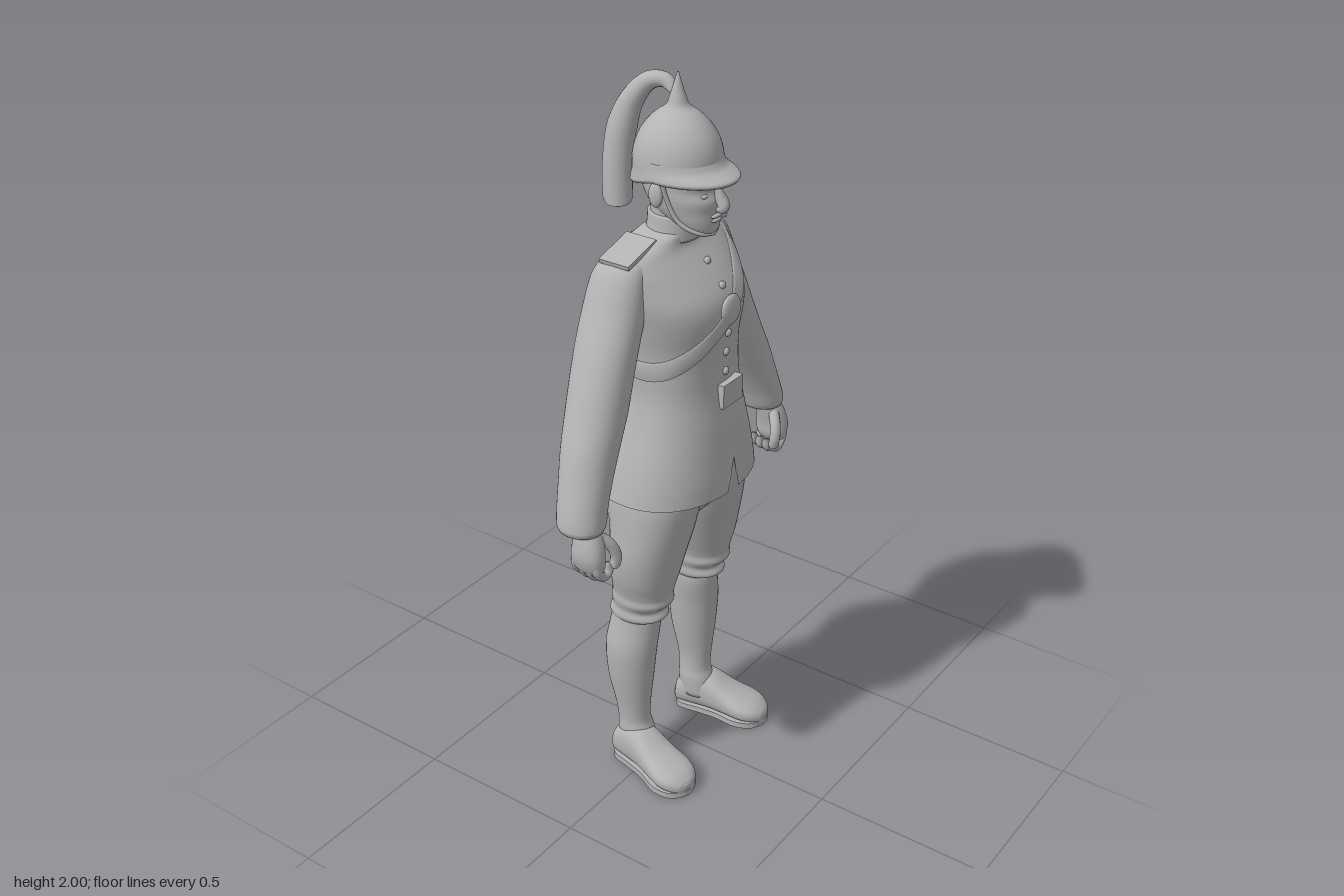
import * as THREE from 'three';

const cloth = new THREE.MeshStandardMaterial({ color: 0xb4b4b4, side: THREE.DoubleSide });
cloth.name = 'plain grey';

// Smoothly read a section [y, xMin, xMax, zMin, zMax] at height y
function sectionAt(secs, y) {
  let i = 0;
  while (i < secs.length - 2 && y > secs[i + 1][0]) i++;
  const a = secs[i], b = secs[i + 1], p = secs[Math.max(i - 1, 0)], q = secs[Math.min(i + 2, secs.length - 1)];
  const h = b[0] - a[0], t = (y - a[0]) / h, t2 = t * t, t3 = t2 * t;
  return a.map((v, k) => {
    if (k === 0) return y;
    const m0 = (b[k] - p[k]) / (b[0] - p[0]) * h, m1 = (q[k] - v) / (q[0] - a[0]) * h;
    return (2 * t3 - 3 * t2 + 1) * v + (t3 - 2 * t2 + t) * m0 + (3 * t2 - 2 * t3) * b[k] + (t3 - t2) * m1;
  });
}

// Point on a superellipse section, optionally pushed outwards
function surfacePoint(secs, y, ang, n, push = 0) {
  const [, x0, x1, z0, z1] = sectionAt(secs, y), c = Math.cos(ang), s = Math.sin(ang);
  const pw = v => Math.sign(v) * Math.pow(Math.abs(v), 2 / n);
  return new THREE.Vector3((x0 + x1) / 2 + ((x1 - x0) / 2 + push) * pw(c), y,
    (z0 + z1) / 2 + ((z1 - z0) / 2 + push) * pw(s));
}

// Closed tube of stacked sections, listed from low to high
function loft(secs, { n = 2, segs = 40, sub = 5, capBottom = true, capTop = true } = {}) {
  const pos = [], idx = [], rows = (secs.length - 1) * sub;
  for (let r = 0; r <= rows; r++) {
    const i = Math.min(Math.floor(r / sub), secs.length - 2), f = r / sub - i;
    const y = secs[i][0] + (secs[i + 1][0] - secs[i][0]) * f;
    for (let j = 0; j < segs; j++) pos.push(...surfacePoint(secs, y, j / segs * Math.PI * 2, n).toArray());
  }
  for (let r = 0; r < rows; r++) for (let j = 0; j < segs; j++) {
    const a = r * segs + j, c = r * segs + (j + 1) % segs, b = a + segs, d = c + segs;
    idx.push(a, b, c, c, b, d);
  }
  const cap = (sec, row, top) => {
    const k = pos.length / 3;
    pos.push((sec[1] + sec[2]) / 2, sec[0], (sec[3] + sec[4]) / 2);
    for (let j = 0; j < segs; j++) {
      const a = row * segs + j, b = row * segs + (j + 1) % segs;
      top ? idx.push(a, k, b) : idx.push(a, b, k);
    }
  };
  if (capBottom) cap(secs[0], 0, false);
  if (capTop) cap(secs[secs.length - 1], rows, true);
  const g = new THREE.BufferGeometry();
  g.setAttribute('position', new THREE.Float32BufferAttribute(pos, 3));
  g.setIndex(idx);
  g.computeVertexNormals();
  return g;
}

// Move vertices by a rule
function bend(g, rule) {
  const p = g.attributes.position, v = new THREE.Vector3();
  for (let i = 0; i < p.count; i++) { v.fromBufferAttribute(p, i); rule(v); p.setXYZ(i, v.x, v.y, v.z); }
  g.computeVertexNormals();
  return g;
}

// Tube whose radius follows radiusAt(u), rounded to a point at both ends
function taperTube(points, radiusAt, steps = 24, sides = 12) {
  const curve = new THREE.CatmullRomCurve3(points.map(p => new THREE.Vector3(...p)));
  const g = new THREE.TubeGeometry(curve, steps, 1, sides), p = g.attributes.position, v = new THREE.Vector3();
  for (let i = 0; i < p.count; i++) {
    const u = Math.floor(i / (sides + 1)) / steps, c = curve.getPointAt(u);
    v.fromBufferAttribute(p, i).sub(c).multiplyScalar(radiusAt(u)).add(c);
    p.setXYZ(i, v.x, v.y, v.z);
  }
  return g;
}
const roundEnds = (r, k = 0.12) => u => {
  const e = Math.min(u, 1 - u) / k;
  return e >= 1 ? r : r * Math.sqrt(Math.max(0.0004, 1 - (1 - e) ** 2));
};

function mirrored(geo) {
  const g = geo.clone().scale(-1, 1, 1);
  const old = g.index ? Array.from(g.index.array) : Array.from({ length: g.attributes.position.count }, (_, i) => i);
  for (let i = 0; i < old.length; i += 3) [old[i], old[i + 1]] = [old[i + 1], old[i]];
  g.setIndex(old);
  return g;
}
const ball = (x, y, z, rx, ry, rz) => new THREE.SphereGeometry(1, 20, 14).scale(rx, ry, rz).translate(x, y, z);
const sym = (y, hx, z0, z1) => [y, -hx, hx, z0, z1];

export function createModel() {
  const group = new THREE.Group();
  const add = (name, g) => { const m = new THREE.Mesh(g, cloth); m.name = name; group.add(m); };
  const pair = (name, g) => { add('left ' + name, g); add('right ' + name, mirrored(g)); };

  // Tunic with front and back vents
  const coat = [sym(0.905, 0.238, -0.188, 0.185), sym(0.95, 0.228, -0.178, 0.183), sym(1.0, 0.215, -0.165, 0.178),
    sym(1.1, 0.185, -0.135, 0.165), sym(1.18, 0.167, -0.118, 0.152), sym(1.25, 0.165, -0.128, 0.148),
    sym(1.32, 0.17, -0.15, 0.15), sym(1.4, 0.185, -0.172, 0.16), sym(1.45, 0.195, -0.176, 0.15),
    sym(1.5, 0.202, -0.168, 0.115), sym(1.54, 0.205, -0.148, 0.08), sym(1.57, 0.185, -0.118, 0.055),
    sym(1.59, 0.13, -0.095, 0.05), sym(1.612, 0.07, -0.075, 0.055)];
  const N = 2.25;
  add('tunic', bend(loft(coat, { n: N, segs: 160, capBottom: false }), v => {
    v.y = Math.max(v.y, (v.z > 0 ? 1.0 : 0.95) - Math.abs(v.x) * (v.z > 0 ? 4 : 3));
  }));
  add('collar', loft([sym(1.585, 0.078, -0.08, 0.062), sym(1.62, 0.071, -0.074, 0.064), sym(1.65, 0.068, -0.072, 0.062)]));

  // Cross strap running round the body from the left shoulder to the right waist
  const strapPos = [], strapIdx = [], M = 120;
  for (let i = 0; i <= M; i++) {
    const ang = i / M * Math.PI * 2;
    let lo = 1.15, hi = 1.6;
    for (let k = 0; k < 30; k++) {
      const y = (lo + hi) / 2;
      if (y - 1.4 - 0.77 * surfacePoint(coat, y, ang, N).x > 0) hi = y; else lo = y;
    }
    [[-0.026, -0.002], [-0.024, 0.007], [0.024, 0.007], [0.026, -0.002]].forEach(([dy, push]) =>
      strapPos.push(...surfacePoint(coat, lo + dy, ang, N, push).toArray()));
    if (i < M) for (let k = 0; k < 3; k++) {
      const a = i * 4 + k;
      strapIdx.push(a, a + 1, a + 4, a + 4, a + 1, a + 5);
    }
  }
  const strap = new THREE.BufferGeometry();
  strap.setAttribute('position', new THREE.Float32BufferAttribute(strapPos, 3));
  strap.setIndex(strapIdx);
  strap.computeVertexNormals();
  add('cross strap', strap);

  // Badge, buckle and buttons
  add('strap badge', ball(0.013, 1.412, 0.158, 0.042, 0.042, 0.014));
  add('belt buckle', new THREE.BoxGeometry(0.088, 0.066, 0.03).translate(0.018, 1.18, 0.152));
  for (const y of [1.53, 1.475, 1.35, 1.295, 1.24]) {
    add('front button', ball(0.008, y, surfacePoint(coat, y, Math.PI / 2, N).z, 0.011, 0.011, 0.009));
  }
  for (const y of [1.14, 1.07, 1.0]) {
    pair('tail button', ball(0.055, y, surfacePoint(coat, y, -1.25, N).z + 0.002, 0.011, 0.011, 0.009));
  }
  pair('shoulder strap', new THREE.BoxGeometry(0.12, 0.012, 0.09).rotateZ(-0.28).translate(0.155, 1.582, -0.035));

  // Sleeves
  pair('sleeve', loft([[0.93, 0.362, 0.468, -0.058, 0.062], [0.945, 0.354, 0.472, -0.062, 0.066],
    [0.99, 0.337, 0.463, -0.068, 0.062], [1.05, 0.308, 0.444, -0.078, 0.058], [1.13, 0.262, 0.418, -0.092, 0.053],
    [1.2, 0.225, 0.386, -0.104, 0.05], [1.29, 0.19, 0.347, -0.115, 0.045], [1.37, 0.16, 0.311, -0.122, 0.042],
    [1.45, 0.13, 0.272, -0.125, 0.038], [1.52, 0.12, 0.24, -0.118, 0.032], [1.555, 0.12, 0.218, -0.1, 0.022],
    [1.575, 0.13, 0.19, -0.075, 0.0]], { n: 2.1 }));

  // Hands with curled fingers
  pair('palm', loft([[0.815, 0.41, 0.438, 0.0, 0.07], [0.835, 0.4, 0.452, -0.012, 0.078], [0.87, 0.396, 0.46, -0.015, 0.08],
    [0.91, 0.388, 0.455, -0.012, 0.07], [0.95, 0.382, 0.445, -0.025, 0.05]], { n: 2.3, segs: 28 }));
  for (let i = 0; i < 4; i++) {
    const z = -0.002 + i * 0.022, d = Math.abs(i - 1.7) * 0.005;
    pair('finger', taperTube([[0.437, 0.86, z], [0.43, 0.818 + d, z], [0.407, 0.797 + d, z], [0.389, 0.805 + d, z],
      [0.385, 0.83 + d, z]], roundEnds(0.0135)));
  }
  pair('thumb', taperTube([[0.405, 0.92, 0.05], [0.382, 0.885, 0.072], [0.372, 0.85, 0.078], [0.376, 0.815, 0.07]], roundEnds(0.015)));

  // Breeches
  add('seat', loft([sym(0.8, 0.06, -0.07, 0.08), sym(0.84, 0.13, -0.115, 0.115), sym(0.9, 0.2, -0.14, 0.14), sym(0.97, 0.2, -0.14, 0.14)]));
  pair('breeches leg', loft([[0.5, 0.08, 0.196, -0.105, 0.03], [0.515, 0.07, 0.203, -0.112, 0.058], [0.54, 0.07, 0.201, -0.102, 0.05],
    [0.565, 0.063, 0.209, -0.104, 0.073], [0.59, 0.063, 0.209, -0.1, 0.072], [0.65, 0.043, 0.226, -0.1, 0.086],
    [0.72, 0.02, 0.235, -0.1, 0.1], [0.8, 0.0, 0.232, -0.106, 0.118], [0.9, -0.01, 0.222, -0.13, 0.135],
    [0.97, -0.01, 0.2, -0.13, 0.13]], { n: 2.15 }));

  // Boots: shaft, foot and sole
  pair('boot shaft', loft([[0.06, 0.105, 0.195, -0.085, 0.03], [0.12, 0.103, 0.195, -0.086, 0.02], [0.15, 0.107, 0.192, -0.086, 0.01],
    [0.2, 0.108, 0.196, -0.092, 0.011], [0.3, 0.095, 0.21, -0.114, 0.021], [0.4, 0.085, 0.215, -0.12, 0.03],
    [0.48, 0.076, 0.202, -0.11, 0.035], [0.53, 0.08, 0.195, -0.1, 0.035]]));
  const place = g => g.rotateY(0.2).translate(0.172, 0, 0.042);
  const footRow = (z, hx, top) => [z, -hx, hx, -top, -0.008];
  pair('boot foot', place(loft([footRow(-0.142, 0.022, 0.06), footRow(-0.128, 0.042, 0.1), footRow(-0.08, 0.05, 0.135),
    footRow(-0.03, 0.051, 0.13), footRow(0.03, 0.058, 0.097), footRow(0.08, 0.064, 0.076), footRow(0.115, 0.054, 0.062),
    footRow(0.138, 0.032, 0.045), footRow(0.145, 0.012, 0.034)], { n: 2.4 }).rotateX(Math.PI / 2)));
  const outline = [[0, -0.142], [0.04, -0.122], [0.046, -0.06], [0.05, 0], [0.065, 0.07], [0.05, 0.122], [0, 0.147],
    [-0.05, 0.122], [-0.065, 0.07], [-0.05, 0], [-0.046, -0.06], [-0.04, -0.122]];
  const soleCurve = new THREE.CatmullRomCurve3(outline.map(([x, z]) => new THREE.Vector3(x, z, 0)), true);
  const soleShape = new THREE.Shape(soleCurve.getPoints(48).slice(0, -1).map(p => new THREE.Vector2(p.x, p.y)));
  pair('boot sole', place(new THREE.ExtrudeGeometry(soleShape, { depth: 0.018, bevelEnabled: false }).rotateX(Math.PI / 2).translate(0, 0.018, 0)));

  // Head and face
  add('neck', loft([sym(1.6, 0.06, -0.066, 0.058), sym(1.66, 0.06, -0.066, 0.06), sym(1.7, 0.062, -0.07, 0.06)]));
  add('head', loft([sym(1.607, 0.02, 0.05, 0.1), sym(1.617, 0.04, 0.03, 0.116), sym(1.64, 0.058, -0.01, 0.121), sym(1.67, 0.07, -0.06, 0.123),
    sym(1.7, 0.077, -0.082, 0.127), sym(1.725, 0.079, -0.088, 0.118), sym(1.75, 0.08, -0.09, 0.124), sym(1.8, 0.08, -0.09, 0.11)], { n: 2.15 }));
  add('nose', taperTube([[0, 1.74, 0.117], [0, 1.71, 0.132], [0, 1.686, 0.141], [0, 1.677, 0.122]],
    u => 0.003 + 0.013 * Math.sin(Math.PI * Math.min(1, u * 0.9))));
  add('upper lip', ball(0, 1.662, 0.122, 0.024, 0.006, 0.008));
  add('lower lip', ball(0, 1.65, 0.12, 0.02, 0.006, 0.008));
  pair('eye', ball(0.031, 1.717, 0.106, 0.014, 0.007, 0.009));
  pair('ear', ball(0.08, 1.71, -0.005, 0.011, 0.032, 0.02));
  pair('chin strap', taperTube([[0.092, 1.76, 0.02], [0.079, 1.7, 0.03], [0.064, 1.645, 0.055], [0.035, 1.618, 0.098], [0, 1.612, 0.112]], () => 0.006));

  // Helmet with peak, neck guard, spike and plume
  add('helmet dome', loft([sym(1.75, 0.106, -0.112, 0.122), sym(1.8, 0.104, -0.11, 0.122), sym(1.84, 0.094, -0.098, 0.112),
    sym(1.875, 0.074, -0.076, 0.09), sym(1.9, 0.05, -0.05, 0.064), sym(1.918, 0.029, -0.025, 0.036), sym(1.94, 0.02, -0.016, 0.026),
    sym(1.97, 0.011, -0.006, 0.016), sym(2.0, 0.002, 0.003, 0.007)]));
  const droop = v => { v.y -= v.z < 0 ? 0.3 * -v.z : 0; };
  add('helmet brim', bend(loft([sym(1.75, 0.108, -0.116, 0.168), sym(1.757, 0.112, -0.121, 0.173), sym(1.764, 0.111, -0.12, 0.168),
    sym(1.78, 0.107, -0.114, 0.135), sym(1.8, 0.104, -0.11, 0.12)]), droop));
  add('plume', taperTube([[0, 1.945, -0.003], [0, 1.972, -0.03], [-0.012, 1.968, -0.07], [-0.032, 1.92, -0.108], [-0.052, 1.85, -0.126],
    [-0.066, 1.76, -0.13], [-0.074, 1.65, -0.124]], u => roundEnds(0.014 + 0.024 * Math.min(1, u * 2), 0.07)(u), 48, 18));
  return group;
}
